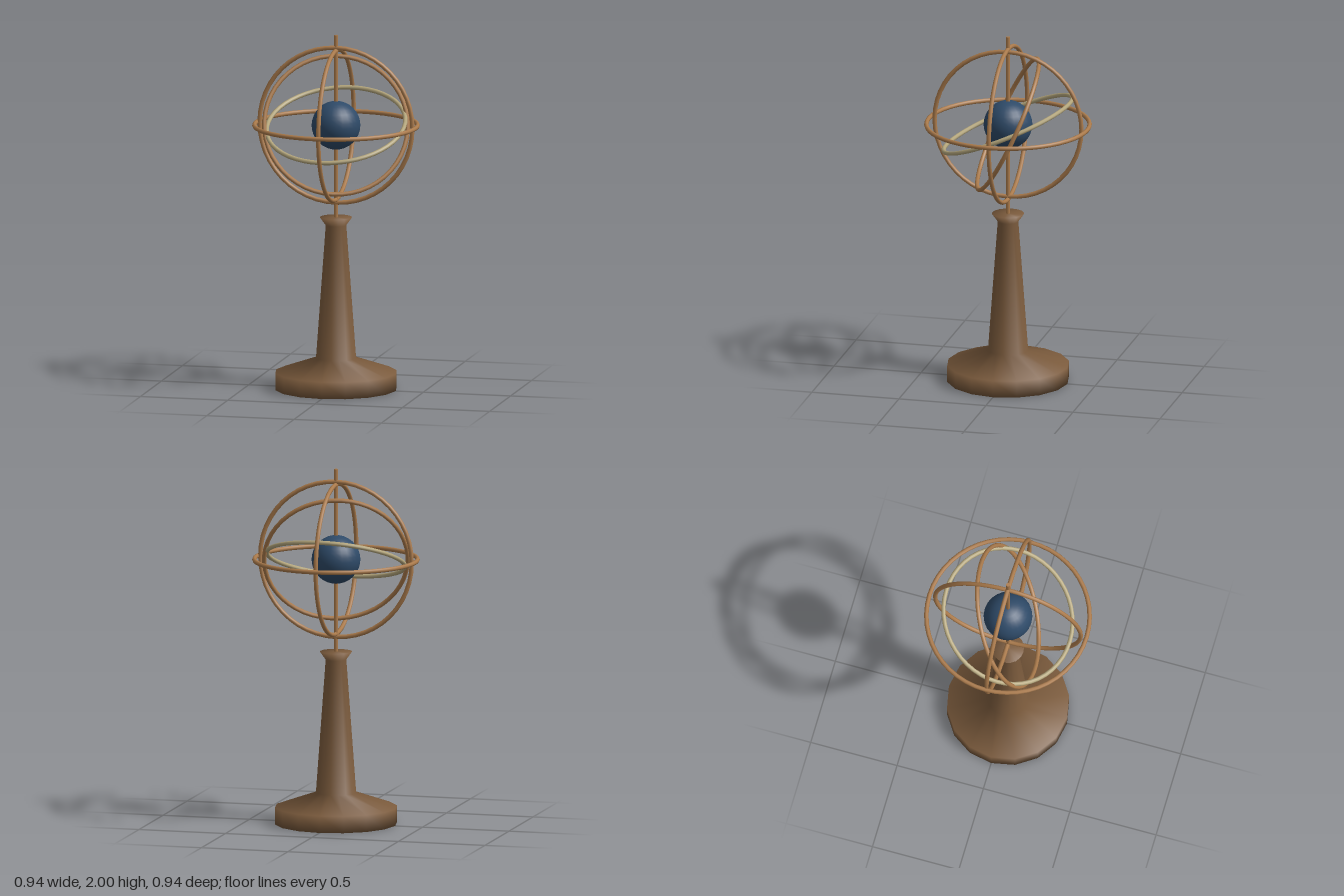
import * as THREE from 'three';

const material = (name, color) => {
  const m = new THREE.MeshStandardMaterial({ color });
  m.name = name;
  return m;
};

export function createModel() {
  const wood = material('wood', 0x7a5a3c);
  const bronze = material('bronze', 0xab7b4c);
  const brass = material('paleBrass', 0xb5a77d);
  const blue = material('globeBlue', 0x2e4a68);

  const model = new THREE.Group();
  model.name = 'armillarySphere';
  const add = (parent, name, geometry, mat) => {
    const mesh = new THREE.Mesh(geometry, mat);
    mesh.name = name;
    parent.add(mesh);
    return mesh;
  };

  // Turned stand: wide foot, tapering column, flared collar
  const profile = [
    [0, 0], [0.342, 0], [0.342, 0.095], [0.113, 0.175],
    [0.058, 0.925], [0.09, 0.97], [0, 0.97],
  ].map(([r, y]) => new THREE.Vector2(r, y));
  add(model, 'stand', new THREE.LatheGeometry(profile, 16), wood);

  // Vertical axis rod
  add(model, 'axisRod', new THREE.CylinderGeometry(0.011, 0.011, 1.04, 8), bronze)
    .position.y = 1.48;

  // Globe and nested rings share one centre
  const sphere = new THREE.Group();
  sphere.name = 'ringsAndGlobe';
  sphere.position.y = 1.49;
  model.add(sphere);
  add(sphere, 'globe', new THREE.SphereGeometry(0.136, 24, 16), blue);

  // Each ring: name, radius, plane normal, material
  const tilt = THREE.MathUtils.degToRad(23);
  const rings = [
    ['horizonRing', 0.455, [0, 1, 0], bronze],
    ['frontMeridianRing', 0.438, [0, 0, 1], bronze],
    ['sideMeridianRing', 0.422, [1, 0, 0], bronze],
    ['tiltedRing', 0.4, [0.25, 0.43, 0.868], bronze],
    ['eclipticRing', 0.388, [0, Math.cos(tilt), Math.sin(tilt)], brass],
  ];
  const zAxis = new THREE.Vector3(0, 0, 1);
  for (const [name, radius, normal, mat] of rings) {
    const ring = add(sphere, name, new THREE.TorusGeometry(radius, 0.0125, 8, 48), mat);
    ring.quaternion.setFromUnitVectors(zAxis, new THREE.Vector3(...normal).normalize());
  }

  return model;
}
